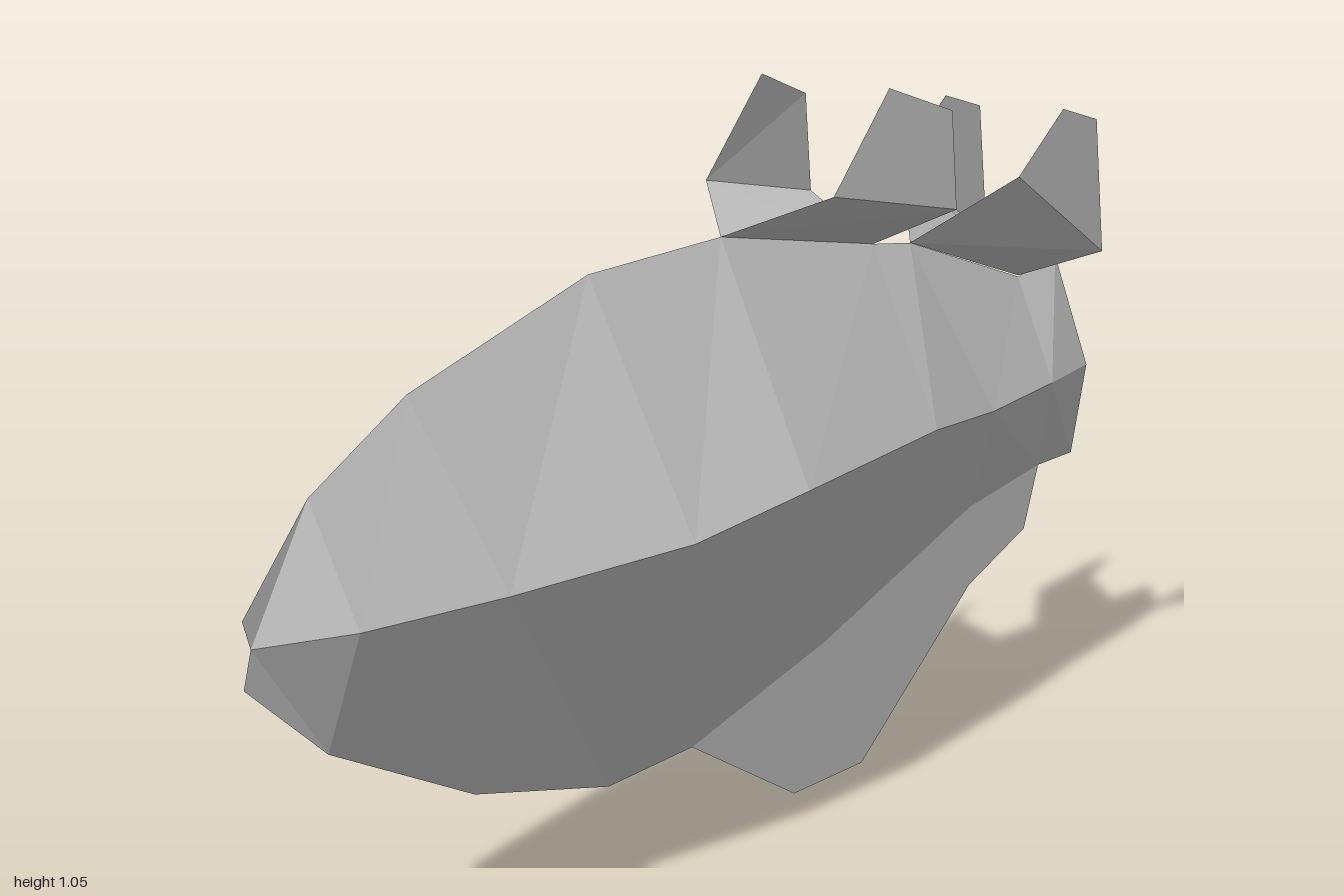
import * as THREE from 'three';

const grey = new THREE.MeshStandardMaterial({ color: 0xcccccc, side: THREE.DoubleSide, flatShading: true });
grey.name = 'hull grey';

// Flat-shaded mesh from a list of triangles, each three [x, y, z] points
function triMesh(name, tris) {
  const g = new THREE.BufferGeometry();
  g.setAttribute('position', new THREE.Float32BufferAttribute(tris.flat(2), 3));
  g.computeVertexNormals();
  const mesh = new THREE.Mesh(g, grey);
  mesh.name = name;
  return mesh;
}

// Convex polygon as a triangle fan
const fan = (pts) => pts.slice(2).map((p, i) => [pts[0], pts[i + 1], p]);

// Hull stations: keel-line top (x, y), side ridge (x, y, z), bottom (x, y)
const stations = [
  [-1, 0.555, -0.985, 0.515, 0, -1, 0.465],
  [-0.87, 0.685, -0.85, 0.515, 0.065, -0.84, 0.34],
  [-0.67, 0.78, -0.6, 0.512, 0.11, -0.54, 0.205],
  [-0.28, 0.87, -0.26, 0.515, 0.163, -0.24, 0.135],
  [0.03, 0.87, 0, 0.535, 0.172, -0.04, 0.14],
  [0.42, 0.795, 0.4, 0.535, 0.127, 0.3, 0.215],
  [0.52, 0.78, 0.62, 0.515, 0.09, 0.7, 0.335],
  [0.83, 0.675, 0.83, 0.515, 0.065, 0.9, 0.36],
  [0.94, 0.69, 0.97, 0.515, 0.043, 1, 0.36],
];

// One side of the diamond-section hull, open at the tail
function hullSide(s) {
  const rows = stations.map(([tx, ty, rx, ry, rz, bx, by]) => [[tx, ty, 0], [rx, ry, rz * s], [bx, by, 0]]);
  const tris = [];
  for (let i = 0; i < rows.length - 1; i++) {
    const [t0, r0, b0] = rows[i];
    const [t1, r1, b1] = rows[i + 1];
    const side = [[t0, r0, t1], [t1, r0, r1], [r0, b0, b1], [r0, b1, r1]];
    tris.push(...side.map(([a, b, c]) => (s > 0 ? [a, b, c] : [a, c, b])));
  }
  return tris;
}

// V-shaped tail plane with an upright end plate on one side
function tailFin(name, root, plate, s) {
  const group = new THREE.Group();
  group.name = name;
  const mirror = ([x, y, z]) => [x, y, z * s];
  const outer = plate.map(mirror);
  const base = root.map(([x, y]) => [x, y, 0]);
  const last = outer[outer.length - 1];
  const order = (pts) => (s > 0 ? pts : [...pts].reverse());
  group.add(triMesh(name + 'Wing', fan(order([base[0], base[1], last, outer[0]]))));
  group.add(triMesh(name + 'EndPlate', fan(order([...outer].reverse()))));
  return group;
}

export function createModel() {
  const model = new THREE.Group();
  model.name = 'airship';
  model.add(triMesh('hull', [...hullSide(1), ...hullSide(-1)]));

  // Flat fin below the rear of the hull
  const lowerFin = [[-0.04, 0.14], [0.22, 0], [0.4, 0], [0.7, 0.21], [0.86, 0.265], [0.9, 0.36], [0.7, 0.335], [0.3, 0.215]];
  const shape = new THREE.Shape(lowerFin.map(([x, y]) => new THREE.Vector2(x, y)));
  const keel = new THREE.Mesh(new THREE.ShapeGeometry(shape), grey);
  keel.name = 'lowerFin';
  model.add(keel);

  // Two mirrored pairs of upper fins
  for (const s of [1, -1]) {
    const suffix = s > 0 ? 'Front' : 'Back';
    model.add(tailFin('forwardFin' + suffix, [[0.03, 0.87], [0.42, 0.795]],
      [[0.15, 0.92, 0.11], [0.29, 1.055, 0.11], [0.43, 1.005, 0.128], [0.445, 0.857, 0.128]], s));
    model.add(tailFin('rearFin' + suffix, [[0.52, 0.78], [0.83, 0.677]],
      [[0.655, 0.87, 0.105], [0.78, 0.955, 0.105], [0.88, 0.925, 0.105], [0.905, 0.715, 0.105]], s));
  }
  return model;
}
